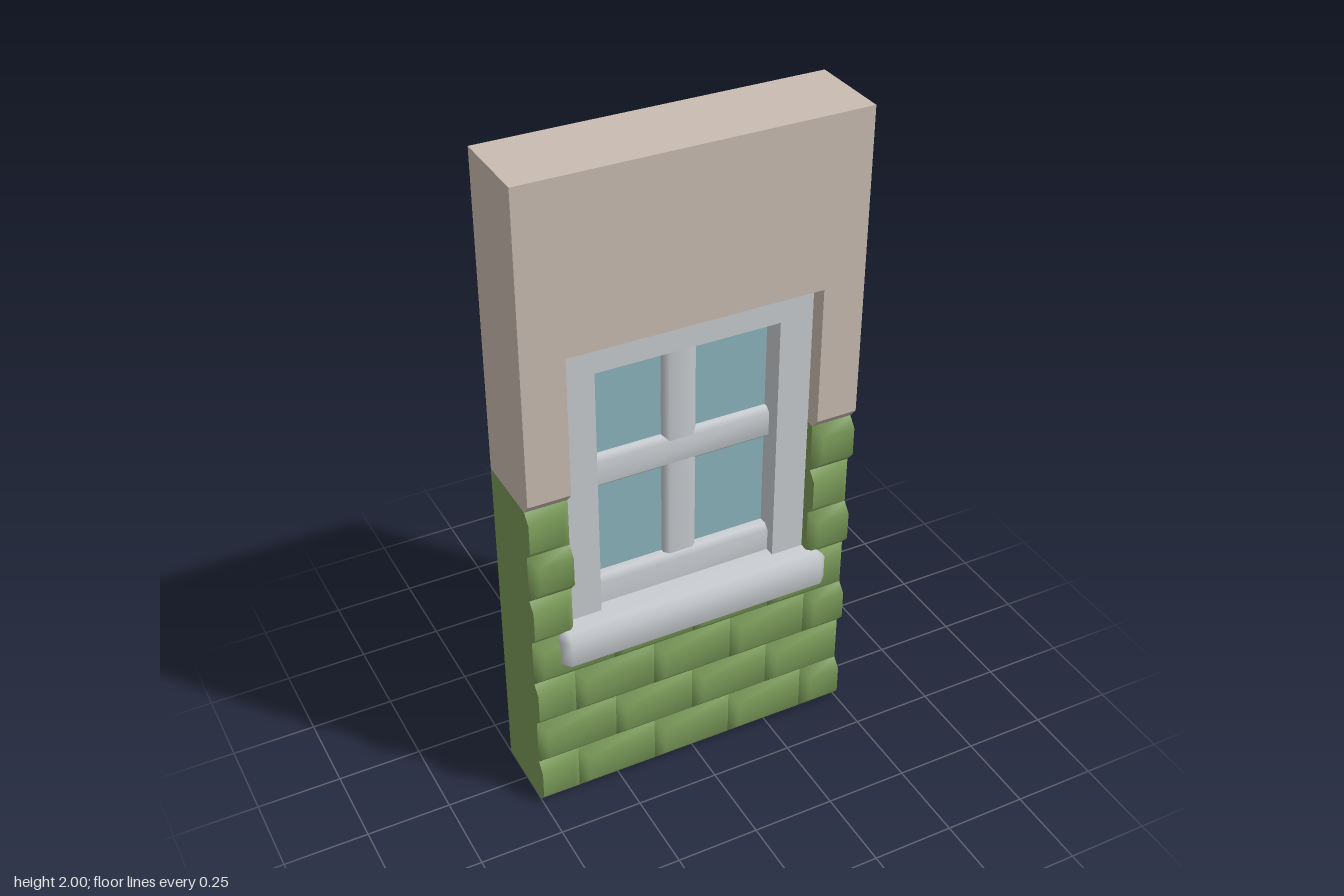
import * as THREE from 'three';
import { mergeVertices } from 'three/addons/utils/BufferGeometryUtils.js';
import { ConvexGeometry } from 'three/addons/geometries/ConvexGeometry.js';

const mat = (name, color) => new THREE.MeshStandardMaterial({ name, color });

// Box with chamfered edges and soft normals
function chamferBox(w, h, d, b) {
  const pts = [];
  const [x, y, z] = [w / 2, h / 2, d / 2];
  for (const sx of [-1, 1]) for (const sy of [-1, 1]) for (const sz of [-1, 1]) {
    pts.push(new THREE.Vector3(sx * x, sy * (y - b), sz * (z - b)));
    pts.push(new THREE.Vector3(sx * (x - b), sy * y, sz * (z - b)));
    pts.push(new THREE.Vector3(sx * (x - b), sy * (y - b), sz * z));
  }
  let g = new ConvexGeometry(pts);
  g.deleteAttribute('normal');
  g = mergeVertices(g, 1e-4);
  g.computeVertexNormals();
  return g;
}

// Pillow-faced brick; an end with a zero bevel is a flush cut
function brickGeometry(x0, x1, y0, y1, bevL, bevR) {
  const zb = 0.1, zf = 0.125, by = 0.03;
  const p = [
    x0, y0, zb, x1, y0, zb, x1, y1, zb, x0, y1, zb,
    x0 + bevL, y0 + by, zf, x1 - bevR, y0 + by, zf, x1 - bevR, y1 - by, zf, x0 + bevL, y1 - by, zf,
  ];
  const quad = (a, b, c, d) => [a, b, c, a, c, d];
  const soft = [...quad(4, 5, 6, 7), ...quad(0, 1, 5, 4), ...quad(2, 3, 7, 6)];
  const cut = [];
  (bevR ? soft : cut).push(...quad(1, 2, 6, 5));
  (bevL ? soft : cut).push(...quad(3, 0, 4, 7));
  return [soft, cut].filter((i) => i.length).map((index) => {
    const g = new THREE.BufferGeometry();
    g.setAttribute('position', new THREE.Float32BufferAttribute(p, 3));
    g.setIndex(index);
    g.computeVertexNormals();
    return g;
  });
}

function polygon(points) {
  return new THREE.Shape(points.map(([x, y]) => new THREE.Vector2(x, y)));
}

export function createModel() {
  const plaster = mat('plaster', 0xcabcb1);
  const stone = mat('greenBrick', 0x7a9a59);
  const paint = mat('framePaint', 0xc8ccd0);
  const glass = mat('glass', 0x8db4bd);
  const model = new THREE.Group();
  model.name = 'windowWall';

  const add = (name, geometry, material, x = 0, y = 0, z = 0, parent = model) => {
    const m = new THREE.Mesh(geometry, material);
    m.name = name;
    m.position.set(x, y, z);
    parent.add(m);
    return m;
  };
  const extrude = (shape, depth) => new THREE.ExtrudeGeometry(shape, { depth, bevelEnabled: false });

  // Upper plaster: lintel above the opening, and side pieces with a chamfered lower front edge
  add('lintelWall', new THREE.BoxGeometry(1, 0.5, 0.25), plaster, 0, 1.75, 0);
  const side = extrude(polygon([[-0.125, 1.5], [-0.125, 1.08], [-0.1, 1.05], [0.125, 1.05], [0.125, 1.5]]), 0.125);
  side.rotateY(Math.PI / 2); // profile x becomes -z
  add('upperWallRight', side, plaster, -0.5);
  add('upperWallLeft', side, plaster, 0.375);

  // Lower wall core, cut around the opening
  const core = polygon([[-0.5, 0], [0.5, 0], [0.5, 1.05], [0.375, 1.05], [0.375, 0.6],
    [-0.375, 0.6], [-0.375, 1.05], [-0.5, 1.05]]);
  add('lowerWall', extrude(core, 0.225), stone, 0, 0, -0.125);

  // Staggered brick courses, clipped to the wall and to the opening
  const bricks = new THREE.Group();
  bricks.name = 'bricks';
  model.add(bricks);
  const bevel = 0.025;
  for (let row = 0; row < 7; row++) {
    const y = row * 0.15;
    const spans = row < 4 ? [[-0.5, 0.5]] : [[-0.5, -0.375], [0.375, 0.5]];
    const first = row % 2 ? -0.5 : -0.625;
    for (const [lo, hi] of spans) {
      for (let x = first; x < 0.5; x += 0.25) {
        const x0 = Math.max(x, lo), x1 = Math.min(x + 0.25, hi);
        if (x1 - x0 < 0.01) continue;
        const parts = brickGeometry(x0, x1, y, y + 0.15, x0 === x ? bevel : 0, x1 === x + 0.25 ? bevel : 0);
        for (const g of parts) add('brick', g, stone, 0, 0, 0, bricks);
      }
    }
  }

  // Window frame
  const win = new THREE.Group();
  win.name = 'window';
  model.add(win);
  const frame = polygon([[-0.375, 0.55], [0.375, 0.55], [0.375, 1.5], [-0.375, 1.5]]);
  frame.holes.push(polygon([[-0.275, 0.6], [-0.275, 1.4], [0.275, 1.4], [0.275, 0.6]]));
  add('frame', extrude(frame, 0.15), paint, 0, 0, -0.075, win);

  // Glass, glazing bars and bottom rail
  add('glassPane', new THREE.BoxGeometry(0.56, 0.82, 0.008), glass, 0, 1, 0, win);
  add('verticalBar', chamferBox(0.1, 0.84, 0.06, 0.014), paint, 0, 1.03, 0, win);
  add('horizontalBar', chamferBox(0.6, 0.1, 0.062, 0.014), paint, 0, 1.05, 0, win);
  add('bottomRail', chamferBox(0.6, 0.14, 0.09, 0.015), paint, 0, 0.63, 0, win);

  // Sill running through the wall
  add('sill', chamferBox(0.85, 0.125, 0.3, 0.025), paint, 0, 0.5525, 0, win);

  return model;
}
